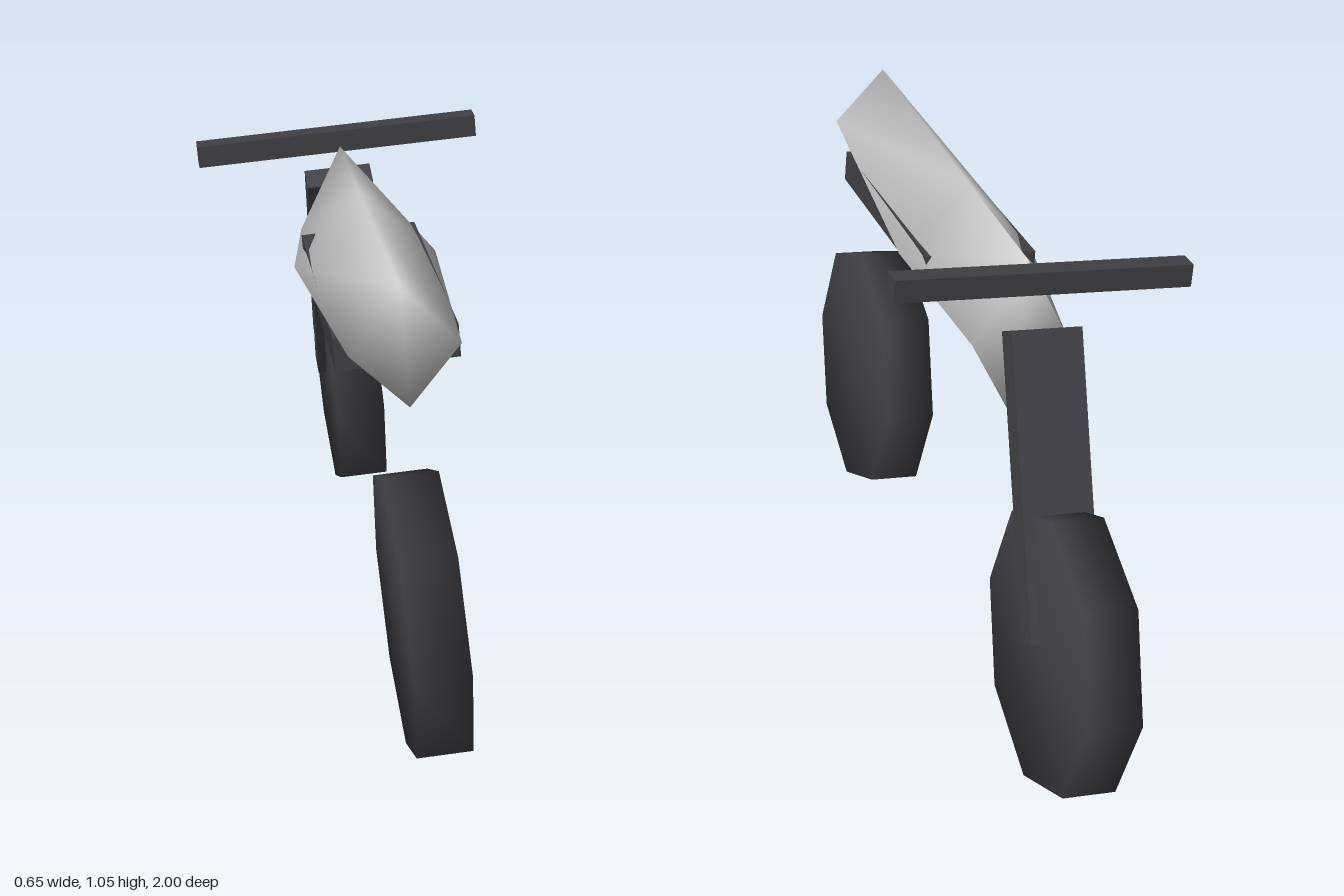
import * as THREE from 'three';
import { mergeVertices } from 'three/addons/utils/BufferGeometryUtils.js';

const dark = new THREE.MeshStandardMaterial({ color: 0x404044 });
const grey = new THREE.MeshStandardMaterial({ color: 0xcccccc });

function part(name, geometry, material, x, y, z) {
  const mesh = new THREE.Mesh(geometry, material);
  mesh.name = name;
  mesh.position.set(x, y, z);
  return mesh;
}

// Eight-sided wheel on the x axis, shaded smoothly across its edges
function wheelGeometry() {
  const geo = new THREE.CylinderGeometry(0.305, 0.305, 0.115, 8);
  geo.rotateZ(Math.PI / 2);
  geo.deleteAttribute('normal');
  geo.deleteAttribute('uv');
  const merged = mergeVertices(geo, 1e-4);
  merged.computeVertexNormals();
  return merged;
}

// Body lofted through diamond cross-sections, with closed ends
function bodyGeometry() {
  // z, top y, side y, bottom y, half width
  const sections = [
    [0.8, 1.05, 0.92, 0.8, 0.11],
    [0.1, 1.02, 0.865, 0.705, 0.155],
    [-0.29, 1.006, 0.817, 0.635, 0.108],
  ];
  const positions = [];
  const index = [];
  for (const [z, top, side, bottom, w] of sections) {
    positions.push(0, top, z, w, side, z, 0, bottom, z, -w, side, z);
  }
  for (let i = 0; i < sections.length - 1; i++) {
    for (let j = 0; j < 4; j++) {
      const a = i * 4 + j;
      const b = i * 4 + (j + 1) % 4;
      index.push(a, b, a + 4, b, b + 4, a + 4);
    }
  }
  const k = (sections.length - 1) * 4;
  index.push(0, 3, 2, 0, 2, 1, k, k + 1, k + 2, k, k + 2, k + 3);
  const geo = new THREE.BufferGeometry();
  geo.setAttribute('position', new THREE.Float32BufferAttribute(positions, 3));
  geo.setIndex(index);
  geo.computeVertexNormals();
  return geo;
}

export function createModel() {
  const model = new THREE.Group();
  model.name = 'motorbike';

  // The whole bike leans to one side
  const bike = new THREE.Group();
  bike.name = 'leaningBike';
  bike.position.set(0.086, 0.0075, 0);
  bike.rotation.z = 0.087;
  model.add(bike);

  // Wheels
  const wheel = wheelGeometry();
  bike.add(part('frontWheel', wheel, dark, 0, 0.305, 0.695));
  bike.add(part('backWheel', wheel, dark, 0, 0.305, -0.695));

  // Body
  bike.add(part('body', bodyGeometry(), grey, 0, 0, 0));

  // Bars sunk into both flanks of the body
  for (const s of [1, -1]) {
    const bar = new THREE.BoxGeometry(0.08, 0.07, 0.65);
    bike.add(part(s > 0 ? 'leftSideBar' : 'rightSideBar', bar, dark, s * 0.086, 0.865, 0.32));
  }

  // Slanted fork and crossbar
  const fork = part('fork', new THREE.BoxGeometry(0.155, 0.645, 0.06), dark, 0, 0.61, -0.543);
  fork.rotation.x = 0.45;
  bike.add(fork);
  bike.add(part('handlebar', new THREE.BoxGeometry(0.65, 0.05, 0.05), dark, 0, 1, -0.375));

  return model;
}
